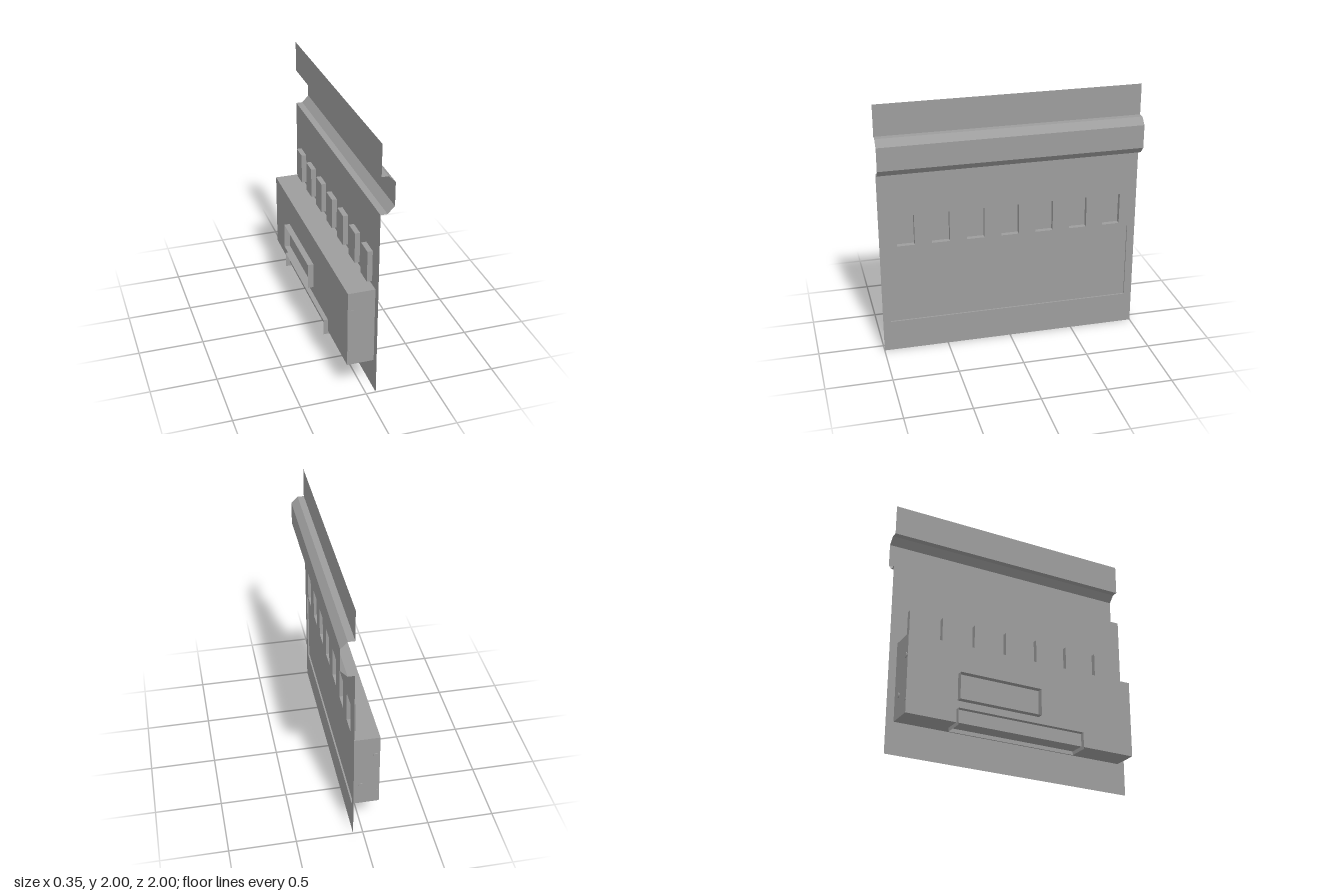
import * as THREE from 'three';

const grey = new THREE.MeshStandardMaterial({ color: 0x9d9d9d, flatShading: true, side: THREE.DoubleSide });

// panel plane, and the large housing behind it
const PX = 0.073;
const HOUSING = { x0: -0.13, y0: 0.246, y1: 0.852, z: 0.94 };
const SLOT = { x0: 0.034, y0: 0.88, y1: 1.124, half: 0.068, step: 0.267 };

export function createModel() {
  const model = new THREE.Group();

  const add = (name, geometry) => {
    const mesh = new THREE.Mesh(geometry, grey);
    mesh.name = name;
    model.add(mesh);
  };

  // box between two corners; dropping the first sides opens +x, then -x
  const box = (name, x0, x1, y0, y1, z0, z1, openSides) => {
    const g = new THREE.BoxGeometry(x1 - x0, y1 - y0, z1 - z0);
    g.setIndex(Array.from(g.index.array).slice(openSides * 6));
    g.translate((x0 + x1) / 2, (y0 + y1) / 2, (z0 + z1) / 2);
    add(name, g);
  };

  const rect = (T, z0, z1, y0, y1) => {
    const p = new T();
    p.moveTo(z0, y0).lineTo(z1, y0).lineTo(z1, y1).lineTo(z0, y1).closePath();
    return p;
  };

  // lower sheet with cut-outs for the housing and the slots
  const sheet = rect(THREE.Shape, -1, 1, 0, 1.476);
  sheet.holes.push(rect(THREE.Path, -HOUSING.z, HOUSING.z, HOUSING.y0, HOUSING.y1));
  for (let i = -3; i <= 3; i++) {
    const c = i * SLOT.step;
    sheet.holes.push(rect(THREE.Path, c - SLOT.half, c + SLOT.half, SLOT.y0, SLOT.y1));
    box('slotPocket', SLOT.x0, PX, SLOT.y0, SLOT.y1, c - SLOT.half, c + SLOT.half, 1);
  }
  add('panelSheet', new THREE.ShapeGeometry(sheet).rotateY(Math.PI / 2).translate(PX, 0, 0));

  // folded rail and upper sheet, one flat strip per bend
  const profile = [[PX, 1.476], [0.123, 1.476], [0.174, 1.53], [0.174, 1.71], [0.123, 1.76], [PX, 1.76], [PX, 2]];
  for (let i = 0; i < profile.length - 1; i++) {
    const [xa, ya] = profile[i], [xb, yb] = profile[i + 1];
    const g = new THREE.PlaneGeometry(2, Math.hypot(xb - xa, yb - ya));
    g.rotateY(Math.PI / 2).rotateZ(Math.atan2(yb - ya, xb - xa) - Math.PI / 2);
    g.translate((xa + xb) / 2, (ya + yb) / 2, 0);
    add(i < 5 ? 'railFold' : 'upperSheet', g);
  }

  // housing, with its cover set slightly into the panel
  box('housing', HOUSING.x0, PX, HOUSING.y0, HOUSING.y1, -HOUSING.z, HOUSING.z, 1);
  const cover = new THREE.PlaneGeometry(2 * HOUSING.z, HOUSING.y1 - HOUSING.y0);
  cover.rotateY(Math.PI / 2).translate(0.061, (HOUSING.y0 + HOUSING.y1) / 2, 0);
  add('housingCover', cover);

  // thin open frame on the outer face
  box('windowFrame', -0.175, HOUSING.x0, 0.412, 0.618, -0.543, 0.12, 2);

  // thin rim wrapping the lower outer edge of the housing
  const end = new THREE.Shape([
    [-0.165, 0.217], [-0.007, 0.217], [-0.007, 0.246], [-0.13, 0.246], [-0.13, 0.345], [-0.165, 0.345],
  ].map(p => new THREE.Vector2(...p)));
  for (const z of [-0.55, 0.484]) add('rimEnd', new THREE.ShapeGeometry(end).translate(0, 0, z));
  add('rimTop', new THREE.PlaneGeometry(0.035, 1.034).rotateX(-Math.PI / 2).translate(-0.1475, 0.345, -0.033));
  add('rimBack', new THREE.PlaneGeometry(1.034, 0.029).rotateY(Math.PI / 2).translate(-0.007, 0.2315, -0.033));

  // low round studs on the housing ends: x, y, radius, height, side
  const studs = [
    [-0.099, 0.69, 0.022, 0.008, -1], [0.006, 0.42, 0.019, 0.006, -1], [-0.113, 0.35, 0.011, 0.004, -1],
    [-0.097, 0.69, 0.021, 0.004, 1], [-0.115, 0.36, 0.01, 0.004, 1],
  ];
  for (const [x, y, r, h, side] of studs) {
    const g = new THREE.CylinderGeometry(r, r, h, 16).rotateX(Math.PI / 2);
    add('endStud', g.translate(x, y, side * (HOUSING.z + h / 2)));
  }

  return model;
}
